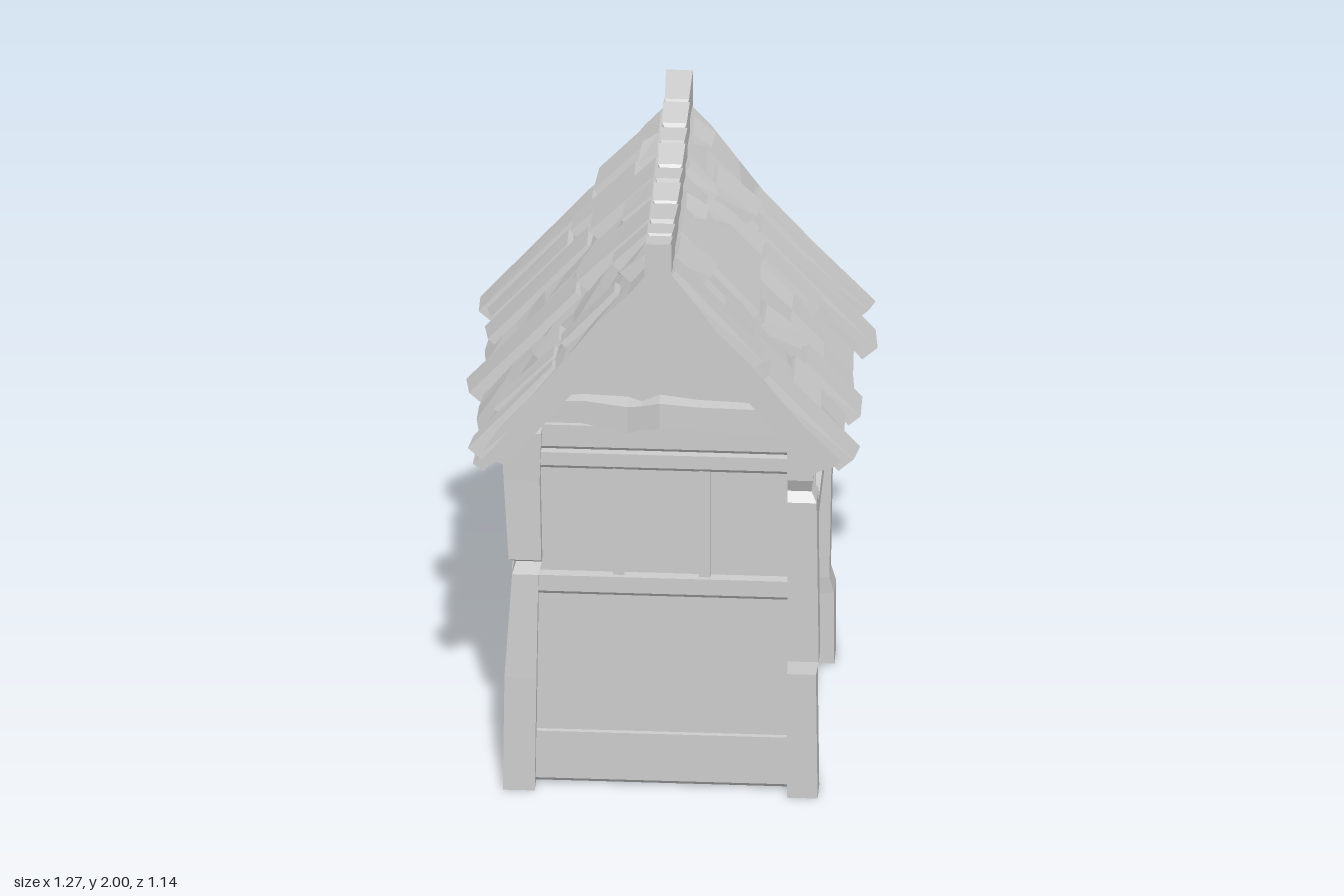
import * as THREE from 'three';

const mat = new THREE.MeshStandardMaterial({ color: 0xcccccc, flatShading: true, side: THREE.DoubleSide });

export function createModel() {
  const model = new THREE.Group();

  function add(name, geo, parent = model) {
    geo.computeVertexNormals();
    const m = new THREE.Mesh(geo, mat);
    m.name = name;
    parent.add(m);
    return m;
  }
  function box(name, x0, x1, y0, y1, z0, z1, parent) {
    const g = new THREE.BoxGeometry(x1 - x0, y1 - y0, z1 - z0);
    g.translate((x0 + x1) / 2, (y0 + y1) / 2, (z0 + z1) / 2);
    return add(name, g, parent);
  }
  // move every vertex of a geometry by a rule
  function warp(geo, rule) {
    const p = geo.attributes.position;
    for (let i = 0; i < p.count; i++) p.setXYZ(i, ...rule(p.getX(i), p.getY(i), p.getZ(i)));
    return geo;
  }
  // four-sided timber through sections [y, x0, x1, z0, z1]
  function loft(sections) {
    const n = sections.length - 1;
    return warp(new THREE.BoxGeometry(1, 1, 1, 1, n, 1), (x, y, z) => {
      const [h, x0, x1, z0, z1] = sections[Math.round((y + 0.5) * n)];
      return [x < 0 ? x0 : x1, h, z < 0 ? z0 : z1];
    });
  }

  // core: closed walls and gables
  box('walls', -0.43, 0.43, 0.01, 1.28, -0.43, 0.43);
  const tri = new THREE.Shape([[-0.43, 1.27], [0.43, 1.27], [0.43, 1.32], [0, 1.84], [-0.43, 1.32]].map(p => new THREE.Vector2(...p)));
  add('gables', new THREE.ExtrudeGeometry(tri, { depth: 0.86, bevelEnabled: false }).translate(0, 0, -0.43));

  // rail with a sloping underside, running along local x
  function rail(name, y0, y1, d, parent) {
    const s = new THREE.Shape([[0.4, y0], [d - 0.012, y0], [d, y0 + 0.014], [d, y1], [0.4, y1]].map(p => new THREE.Vector2(-p[0], p[1])));
    add(name, new THREE.ExtrudeGeometry(s, { depth: 0.84, bevelEnabled: false }).translate(0, 0, -0.42).rotateY(Math.PI / 2), parent);
  }
  // panelling on each of the four sides
  ['front', 'right', 'back', 'left'].forEach((label, i) => {
    const side = new THREE.Group();
    side.name = ['frontWall', 'leftWall', 'backWall', 'rightWall'][i];
    side.rotation.y = i * Math.PI / 2;
    model.add(side);
    rail('bottomBoard', 0.01, 0.19, 0.447, side);
    rail('middleRail', 0.685, 0.755, 0.465, side);
    rail('topRail', 1.13, 1.19, 0.46, side);
    rail('header', 1.19, 1.28, 0.445, side);
    if (i < 3) {
      for (const x of [-0.13, 0.14]) box('mullion', x - 0.018, x + 0.018, 0.75, 1.14, 0.42, 0.45, side);
    } else {
      // framed window with cross bars
      box('crossRail', -0.4, 0.4, 0.92, 0.95, 0.42, 0.447, side);
      for (const x of [-0.19, 0.09]) box('windowJamb', x - 0.022, x + 0.022, 0.7, 1.12, 0.42, 0.485, side);
      for (const y of [0.72, 1.1]) box('windowRail', -0.212, 0.112, y - 0.022, y + 0.022, 0.42, 0.49, side);
      box('windowBar', -0.062, -0.038, 0.72, 1.1, 0.42, 0.47, side);
      box('windowBar', -0.19, 0.09, 0.9, 0.925, 0.42, 0.47, side);
    }
  });

  // worn corner posts: sections [y, inner x, outer x, inner z, outer z] before mirroring
  const posts = [
    [-1, 1, [[0, 0.39, 0.49, 0.4, 0.49], [0.4, 0.385, 0.485, 0.4, 0.488], [0.76, 0.38, 0.462, 0.4, 0.475],
      [0.8, 0.37, 0.45, 0.39, 0.46], [0.82, 0.37, 0.472, 0.39, 0.49], [1.1, 0.375, 0.488, 0.39, 0.485], [1.27, 0.37, 0.495, 0.39, 0.49]]],
    [1, 1, [[0, 0.4, 0.495, 0.4, 0.49], [0.44, 0.4, 0.49, 0.4, 0.49], [0.48, 0.4, 0.498, 0.4, 0.48],
      [1.05, 0.4, 0.492, 0.39, 0.488], [1.08, 0.4, 0.475, 0.39, 0.465], [1.13, 0.4, 0.48, 0.39, 0.49], [1.27, 0.4, 0.49, 0.39, 0.49]]],
    [1, -1, [[0, 0.4, 0.495, 0.39, 0.48], [0.25, 0.4, 0.495, 0.39, 0.482], [0.31, 0.4, 0.48, 0.385, 0.47],
      [0.8, 0.4, 0.488, 0.385, 0.48], [1.03, 0.39, 0.482, 0.385, 0.47], [1.08, 0.39, 0.49, 0.385, 0.485], [1.27, 0.39, 0.49, 0.385, 0.485]]],
    [-1, -1, [[0, 0.39, 0.49, 0.4, 0.485], [0.22, 0.39, 0.49, 0.4, 0.485], [0.26, 0.39, 0.475, 0.4, 0.47],
      [0.9, 0.38, 0.47, 0.4, 0.48], [1.12, 0.38, 0.49, 0.39, 0.475], [1.16, 0.37, 0.48, 0.39, 0.49], [1.27, 0.37, 0.495, 0.39, 0.49]]],
  ];
  for (const [sx, sz, rows] of posts) {
    const sorted = (s, a, b) => (s > 0 ? [a, b] : [-b, -a]);
    add('cornerPost', loft(rows.map(([y, a, b, c, d]) => [y, ...sorted(sx, a, b), ...sorted(sz, c, d)])));
  }

  // rough tie beams under both gables: [x, bottom, top, outer z]
  const beam = [[-0.41, 1.31, 1.365, 0.455], [-0.24, 1.305, 1.385, 0.475], [-0.1, 1.285, 1.38, 0.5], [-0.06, 1.28, 1.365, 0.465],
    [0, 1.3, 1.39, 0.49], [0.12, 1.295, 1.375, 0.48], [0.26, 1.275, 1.37, 0.475], [0.41, 1.28, 1.355, 0.455]];
  for (const turn of [0, Math.PI]) {
    const g = loft(beam.map(([x, lo, hi, z]) => [x, -hi, -lo, 0.41, z])).rotateZ(-Math.PI / 2);
    add('tieBeam', g).rotation.y = turn;
  }

  // sagging roof surface, written for the +x slope; h is height along the slope normal
  const sag = z => 0.04 * (1 - (z / 0.55) ** 2);
  const roofPoint = (x, z, h) => [x + 0.78 * h, 1.93 - 1.25 * x - sag(z) * (1 - x / 0.6) + 0.625 * h, z];
  const tiles = {
    left: [[0.04, 0.33, 0.42, 0.545], [0.04, 0.16, 0.24, 0.39], [0.04, 0.3, -0.06, 0.235], [0.04, 0.12, -0.05, 0.065],
      [0.1, 0.2, -0.17, -0.07], [0.04, 0.145, -0.25, -0.19], [0.12, 0.26, -0.38, -0.25], [0.04, 0.12, -0.49, -0.38],
      [0.4, 0.5, 0.22, 0.41], [0.3, 0.43, 0.1, 0.24], [0.28, 0.47, -0.25, -0.14], [0.24, 0.51, -0.5, -0.39],
      [0.33, 0.615, 0.41, 0.545], [0.43, 0.62, 0.07, 0.21], [0.26, 0.63, -0.37, -0.26], [0.42, 0.61, -0.53, -0.42]],
    right: [[0.25, 0.62, -0.5, -0.39], [0.04, 0.25, -0.51, -0.39], [0.32, 0.59, -0.38, -0.27], [0.11, 0.32, -0.37, -0.27],
      [0.04, 0.11, -0.4, -0.27], [0.25, 0.59, -0.26, -0.13], [0.04, 0.25, -0.26, -0.13], [0.04, 0.15, -0.13, -0.01],
      [0.27, 0.63, 0, 0.14], [0.04, 0.27, 0, 0.15], [0.04, 0.17, 0.16, 0.25], [0.31, 0.41, 0.26, 0.37],
      [0.32, 0.51, 0.38, 0.47], [0.13, 0.32, 0.38, 0.47], [0.04, 0.13, 0.4, 0.46], [0.32, 0.59, 0.48, 0.545]],
  };
  for (const [label, list] of Object.entries(tiles)) {
    const slope = new THREE.Group();
    const s = label === 'left' ? 1 : -1;
    slope.name = label + 'RoofSlope';
    if (s < 0) slope.rotation.y = Math.PI;
    model.add(slope);

    // uneven slab
    add('roofSlab', warp(new THREE.BoxGeometry(1, 1, 1, 6, 1, 9), (a, b, c) => {
      const u = a + 0.5, z = c * 1.1;
      const x = u * (0.575 + 0.015 * Math.sin(z * 17 + s));
      const bump = 0.012 * Math.sin(u * 9 + z * 13 + s) * Math.sin(z * 23 + u * 5);
      return roofPoint(x, z, b > 0 ? bump : -0.05);
    }), slope);

    // wedge shingles with thick lower lips
    list.forEach(([x0, x1, za, zb], i) => {
      const lip = 0.036 + 0.008 * Math.sin(i * 2.3), skew = 0.008 * Math.sin(i * 4.1);
      const mid = s * (za + zb) / 2, half = (zb - za) / 2;
      add('shingle', warp(new THREE.BoxGeometry(1, 1, 1), (a, b, c) => {
        const low = a > 0, top = b > 0;
        const x = low ? x1 - 0.03 + skew * Math.sign(c) : x0;
        const z = mid + Math.sign(c) * (half - (top ? 0.008 : 0)) + (low ? skew : 0);
        return roofPoint(x, z, top ? (low ? lip : 0.018) : -0.02);
      }), slope);
    });

    // sloping rafters at both gable ends
    for (const z of [-0.48, 0.48]) {
      add('gableRafter', warp(new THREE.BoxGeometry(1, 1, 0.1), (a, b, c) => {
        const x = a > 0 ? (b > 0 ? 0.53 : 0.48) : 0;
        return [x, (b > 0 ? 1.87 : 1.78) - 1.26 * x, z + c];
      }), slope);
    }
  }

  // sagging ridge with notched cap tiles
  const cuts = [-0.57, -0.42, -0.3, -0.19, -0.07, 0.05, 0.18, 0.35, 0.47, 0.57];
  const ridge = [];
  const ridgeTop = z => 1.938 + 0.062 * (z / 0.57) ** 2;
  cuts.slice(0, -1).forEach((z0, i) => {
    const z1 = cuts[i + 1], tilt = 0.008 * Math.sin(i * 2.7);
    const bottom = z => 1.81 - 0.04 * (1 - (z / 0.57) ** 2);
    ridge.push([z0 + (i ? 0.012 : 0), -0.042, 0.042, -ridgeTop(z0) - (i ? tilt : 0), -bottom(z0)]);
    ridge.push([z1 - 0.012, -0.038, 0.038, -ridgeTop(z1) + tilt, -bottom(z1)]);
    if (i < 8) ridge.push([z1, -0.028, 0.028, -ridgeTop(z1) + 0.022, -bottom(z1)]);
    else ridge.push([z1, -0.042, 0.042, -ridgeTop(z1), -bottom(z1)]);
  });
  add('ridgeCap', loft(ridge).rotateX(Math.PI / 2));

  return model;
}
